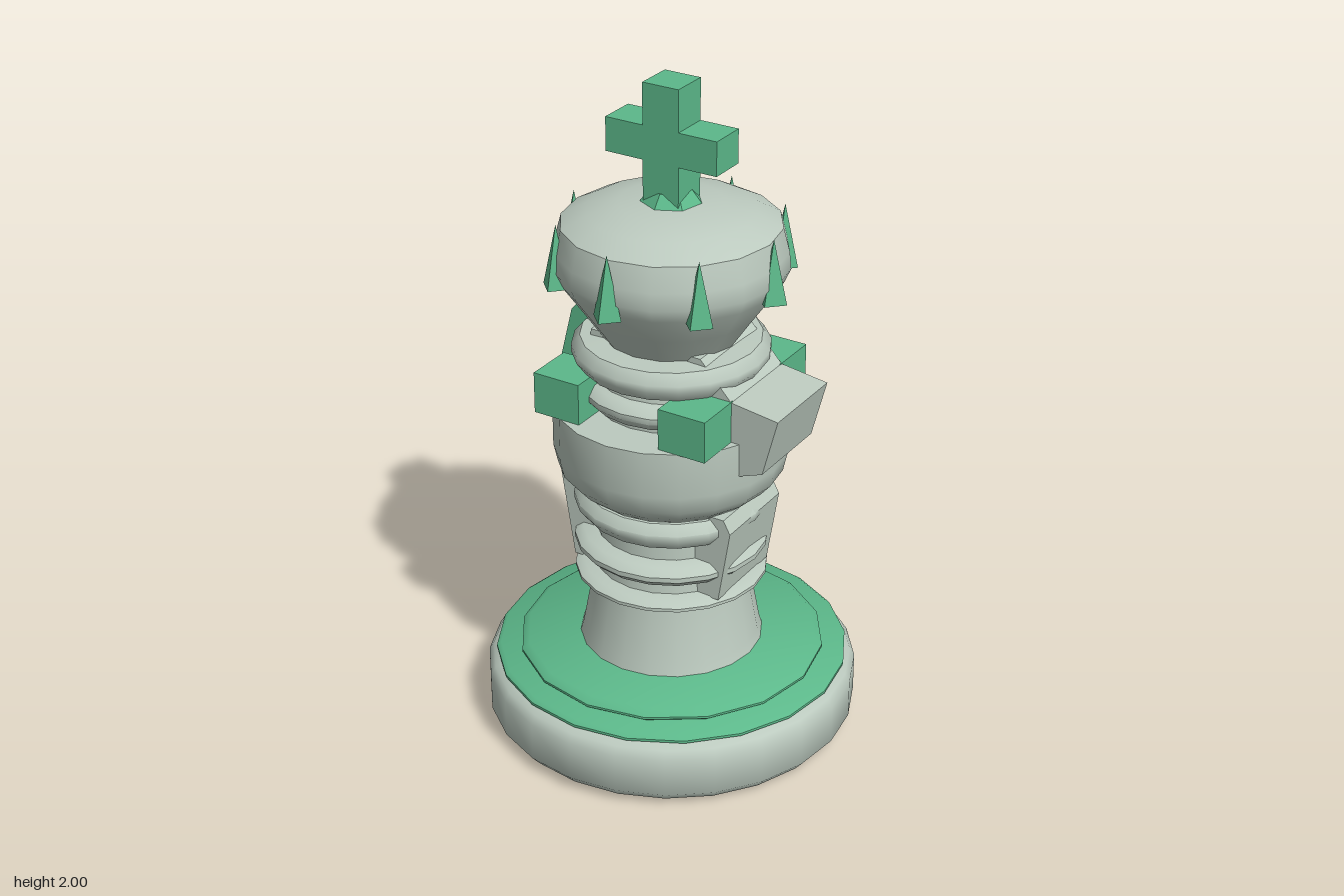
import * as THREE from 'three';
import { toCreasedNormals } from 'three/addons/utils/BufferGeometryUtils.js';

export function createModel() {
  const group = new THREE.Group();
  const stone = new THREE.MeshStandardMaterial({ color: 0xbccabf });
  stone.name = 'paleStone';
  const green = new THREE.MeshStandardMaterial({ color: 0x5cb88a });
  green.name = 'jadeGreen';

  const add = (name, geometry, material, x = 0, y = 0, z = 0) => {
    const mesh = new THREE.Mesh(geometry, material);
    mesh.name = name;
    mesh.position.set(x, y, z);
    group.add(mesh);
    return mesh;
  };
  // Turned part from [radius, height] pairs, listed bottom to top
  const turned = (name, profile, material, sides = 20) => {
    const pts = profile.map(([r, y]) => new THREE.Vector2(r, y));
    return add(name, toCreasedNormals(new THREE.LatheGeometry(pts, sides), 0.75), material);
  };
  // Side outline in x and y, given depth across z
  const slab = (name, outline, depth, material) => {
    const shape = new THREE.Shape(outline.map(([x, y]) => new THREE.Vector2(x, y)));
    const geo = new THREE.ExtrudeGeometry(shape, { depth, bevelEnabled: false });
    geo.translate(0, 0, -depth / 2);
    return add(name, geo, material);
  };

  // Foot and its two green steps
  turned('foot', [[0, 0], [0.5, 0], [0.53, 0.015], [0.555, 0.045], [0.555, 0.165],
    [0.54, 0.19], [0.51, 0.207], [0, 0.207]], stone, 24);
  turned('lowerStep', [[0.5, 0.2], [0.528, 0.207], [0.528, 0.215], [0.515, 0.225], [0, 0.225]], green, 20);
  turned('upperStep', [[0.44, 0.222], [0.457, 0.235], [0.457, 0.242], [0.435, 0.26], [0, 0.26]], green, 16);

  // Column with collar rings
  turned('column', [[0.275, 0.255], [0.265, 0.29], [0.245, 0.4], [0.228, 0.5],
    [0.22, 0.6], [0.22, 0.8]], stone);
  turned('neck', [[0.22, 1.03], [0.22, 1.2], [0.18, 1.26]], stone);
  const ring = (name, y0, y1, r) => {
    const h = y1 - y0;
    turned(name, [[0.2, y0], [r - 0.025, y0], [r, y0 + h * 0.4], [r, y0 + h * 0.65],
      [r - 0.025, y1], [0.17, y1 + 0.004]], stone);
  };
  ring('lowerRing', 0.475, 0.515, 0.285);
  ring('middleRing', 0.565, 0.625, 0.285);
  ring('upperRing', 0.69, 0.77, 0.285);
  ring('neckRing', 1.06, 1.13, 0.265);
  ring('collarRing', 1.165, 1.25, 0.285);

  // Drum in the middle of the body
  turned('drum', [[0.2, 0.765], [0.25, 0.768], [0.3, 0.81], [0.33, 0.845], [0.342, 0.9],
    [0.342, 1.04], [0, 1.04]], stone);

  // Head with its dome
  turned('head', [[0.18, 1.23], [0.255, 1.34], [0.318, 1.43], [0.335, 1.47], [0.33, 1.52],
    [0.312, 1.59], [0.24, 1.628], [0.15, 1.648], [0, 1.658]], stone, 16);

  // Blocks on the drum's four diagonals
  for (const sx of [-1, 1]) for (const sz of [-1, 1]) {
    add('drumBlock', new THREE.BoxGeometry(0.15, 0.125, 0.15), green, sx * 0.206, 1.1025, sz * 0.206);
  }

  // Ring of crown spikes
  for (let i = 0; i < 8; i++) {
    const a = (i * Math.PI) / 4;
    const spike = new THREE.ConeGeometry(0.045, 0.185, 4).toNonIndexed();
    spike.computeVertexNormals();
    add('crownSpike', spike, green, Math.sin(a) * 0.325, 1.5175, Math.cos(a) * 0.325);
  }

  // Angular brackets on the sides
  slab('waistBracket', [[-0.25, 0.51], [0.245, 0.51], [0.282, 0.74], [0.26, 0.78],
    [-0.25, 0.78], [-0.3, 0.82]], 0.28, stone);
  slab('sideArm', [[-0.18, 1.27], [-0.2, 1.0], [0.31, 0.94], [0.382, 0.967],
    [0.428, 1.143], [0.28, 1.163], [0.18, 1.27]], 0.28, stone);
  slab('sideFin', [[-0.25, 1.33], [-0.302, 1.267], [-0.377, 0.965], [-0.332, 0.92],
    [-0.26, 1.0], [-0.2, 1.24]], 0.114, green);

  // Cross on top
  const knob = new THREE.CylinderGeometry(0.06, 0.088, 0.036, 7).toNonIndexed();
  knob.computeVertexNormals();
  add('crossCollar', knob, green, 0, 1.672, 0);
  add('crossPost', new THREE.BoxGeometry(0.114, 0.34, 0.114), green, 0, 1.83, 0);
  for (const s of [-1, 1]) {
    add('crossArm', new THREE.BoxGeometry(0.12, 0.1, 0.114), green, s * 0.117, 1.828, 0);
  }
  return group;
}
